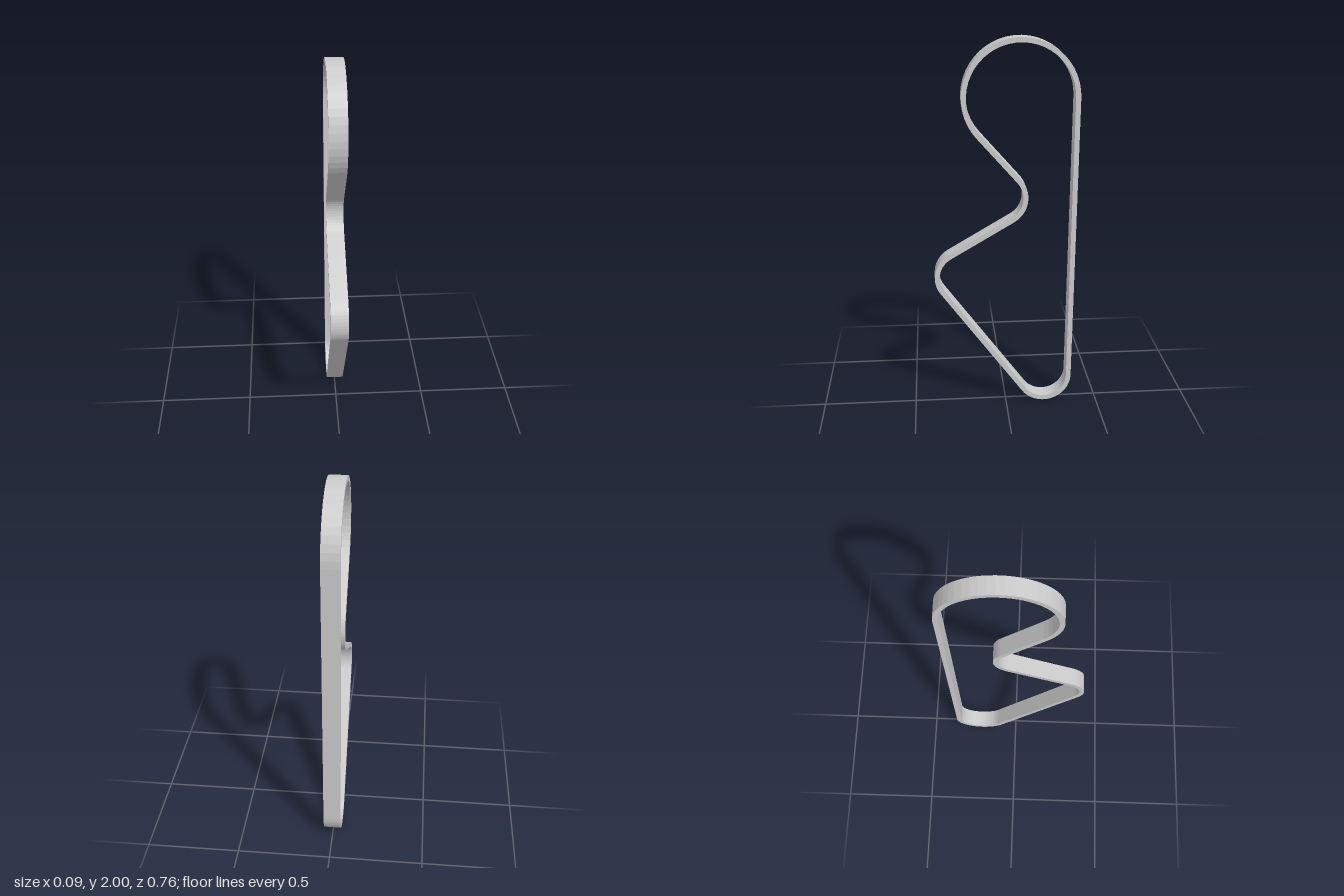
import * as THREE from 'three';

// Rounds the belt wraps, counter-clockwise in (z, y): z, y, radius of the
// belt's outer surface. A negative radius presses in from outside the loop.
const rounds = [
  { z: -0.21, y: 0.15, r: 0.15 },
  { z: 0.228, y: 0.746, r: 0.15 },
  { z: 0.034, y: 1.178, r: -0.124 },
  { z: -0.076, y: 1.698, r: 0.302 },
];
const thickness = 0.026;
const width = 0.092;
const step = THREE.MathUtils.degToRad(7.5);

// Closed loop of arcs joined by tangent lines, moved inward by inset
function beltLoop(inset) {
  const n = rounds.length;
  // Outward normal angle of the straight run leaving each round
  const normals = rounds.map((a, i) => {
    const b = rounds[(i + 1) % n];
    const dz = b.z - a.z, dy = b.y - a.y;
    return Math.atan2(dy, dz) - Math.acos((a.r - b.r) / Math.hypot(dz, dy));
  });
  const points = [];
  rounds.forEach((c, i) => {
    const start = normals[(i + n - 1) % n];
    const turn = Math.sign(c.r);
    const full = Math.PI * 2;
    const sweep = ((((normals[i] - start) * turn) % full) + full) % full;
    const count = Math.ceil(sweep / step);
    for (let k = 0; k <= count; k++) {
      const a = start + (turn * sweep * k) / count;
      const r = c.r - inset;
      points.push(new THREE.Vector2(c.z + r * Math.cos(a), c.y + r * Math.sin(a)));
    }
  });
  return points;
}

export function createModel() {
  const group = new THREE.Group();
  group.name = 'driveBelt';

  // Flat band: outer loop with the inner loop cut out
  const shape = new THREE.Shape(beltLoop(0));
  shape.holes.push(new THREE.Path(beltLoop(thickness)));
  const geometry = new THREE.ExtrudeGeometry(shape, { depth: width, bevelEnabled: false });
  geometry.translate(0, 0, -width / 2);
  geometry.rotateY(-Math.PI / 2); // shape's x becomes z

  const belt = new THREE.Mesh(geometry, new THREE.MeshStandardMaterial({ color: 0xcccccc }));
  belt.name = 'belt';
  group.add(belt);
  return group;
}
